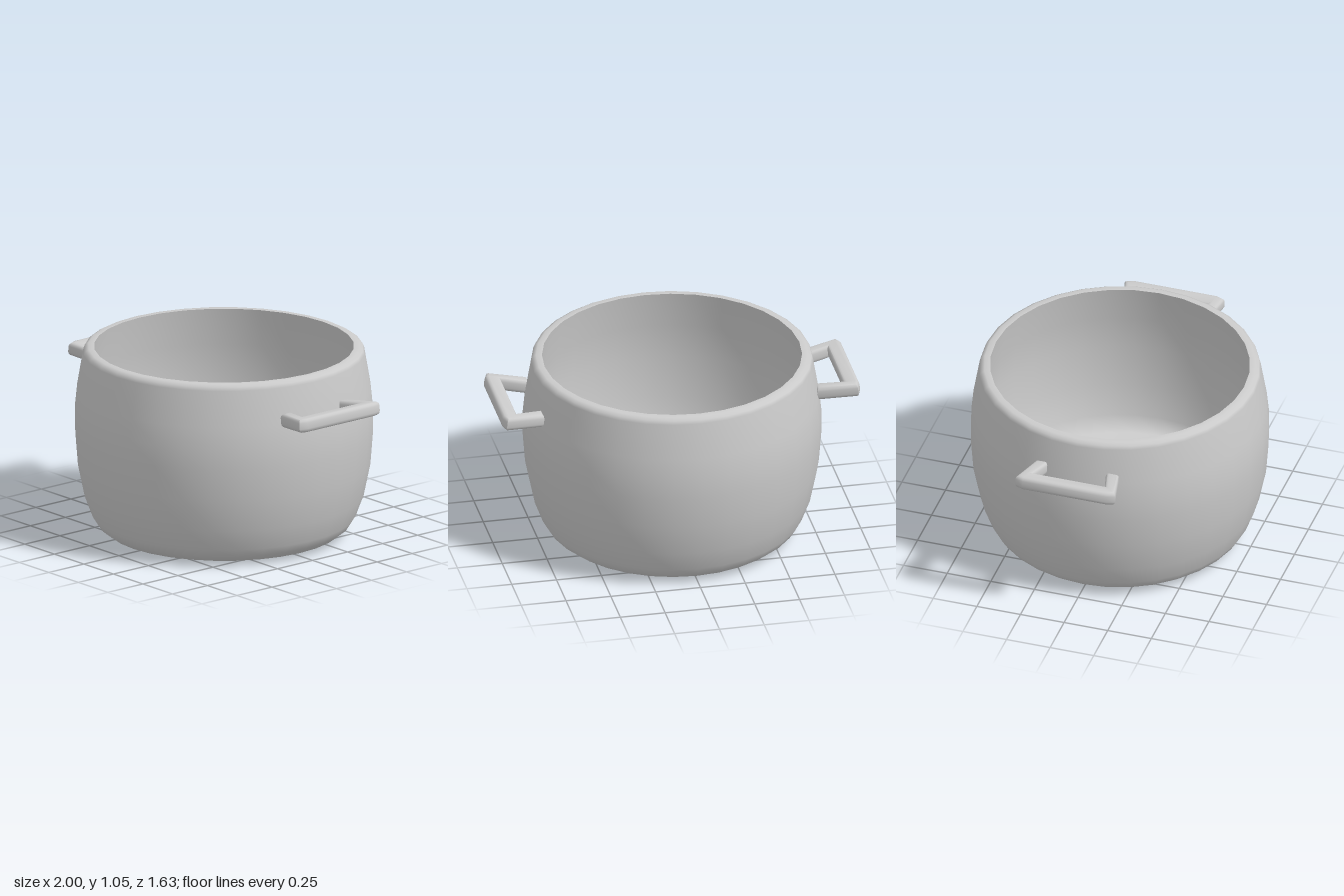
import * as THREE from 'three';
import { toCreasedNormals } from 'three/addons/utils/BufferGeometryUtils.js';

const SIDES = 32;
const toPoints = (list) => list.map(([x, y]) => new THREE.Vector2(x, y));

// Angular loop handle, extruded upward with rounded edges and tilted up
function handleGeometry() {
  const inner = [[0.765, 0.163], [0.915, 0.203]];
  const outer = [[1.0, 0.24], [0.982, 0.286], [0.765, 0.237]];
  const mirror = (list) => list.map(([x, z]) => [x, -z]).reverse();
  const shape = new THREE.Shape(toPoints([
    ...mirror(outer), ...outer, ...inner, ...mirror(inner),
  ]));
  const bevel = 0.022, height = 0.077;
  const geo = new THREE.ExtrudeGeometry(shape, {
    depth: height - 2 * bevel,
    bevelEnabled: true, bevelThickness: bevel, bevelSize: bevel,
    bevelOffset: -bevel, bevelSegments: 3,
  });
  geo.rotateX(-Math.PI / 2);
  geo.translate(-1, bevel - height / 2, 0);
  geo.rotateZ(0.11);
  geo.translate(0.997, 0.868, 0);
  return toCreasedNormals(geo, 0.9);
}

export function createModel() {
  const group = new THREE.Group();
  const material = new THREE.MeshStandardMaterial({ color: 0xcccccc });
  const add = (name, geometry) => {
    const mesh = new THREE.Mesh(geometry, material);
    mesh.name = name;
    group.add(mesh);
    return mesh;
  };

  // Bulging outer wall, rolled over the rim
  add('outerWall', new THREE.LatheGeometry(toPoints([
    [0.585, 0], [0.645, 0.018], [0.692, 0.055], [0.72, 0.1], [0.765, 0.22],
    [0.802, 0.4], [0.816, 0.58], [0.816, 0.7], [0.804, 0.82], [0.77, 1.02],
    [0.762, 1.04], [0.742, 1.052], [0.71, 1.052],
  ]), SIDES));

  // Hollow inside, following the bulge down to a softly shaded floor
  add('innerWall', new THREE.LatheGeometry(toPoints([
    [0.71, 1.052], [0.745, 0.84], [0.76, 0.64], [0.745, 0.4], [0.71, 0.22],
    [0.67, 0.13], [0, 0.13],
  ]), SIDES));

  // Flat underside
  const base = new THREE.CircleGeometry(0.585, SIDES);
  base.rotateX(Math.PI / 2);
  add('base', base);

  // Matching handles on both sides
  const handle = handleGeometry();
  add('leftHandle', handle);
  add('rightHandle', handle).rotation.y = Math.PI;

  return group;
}
